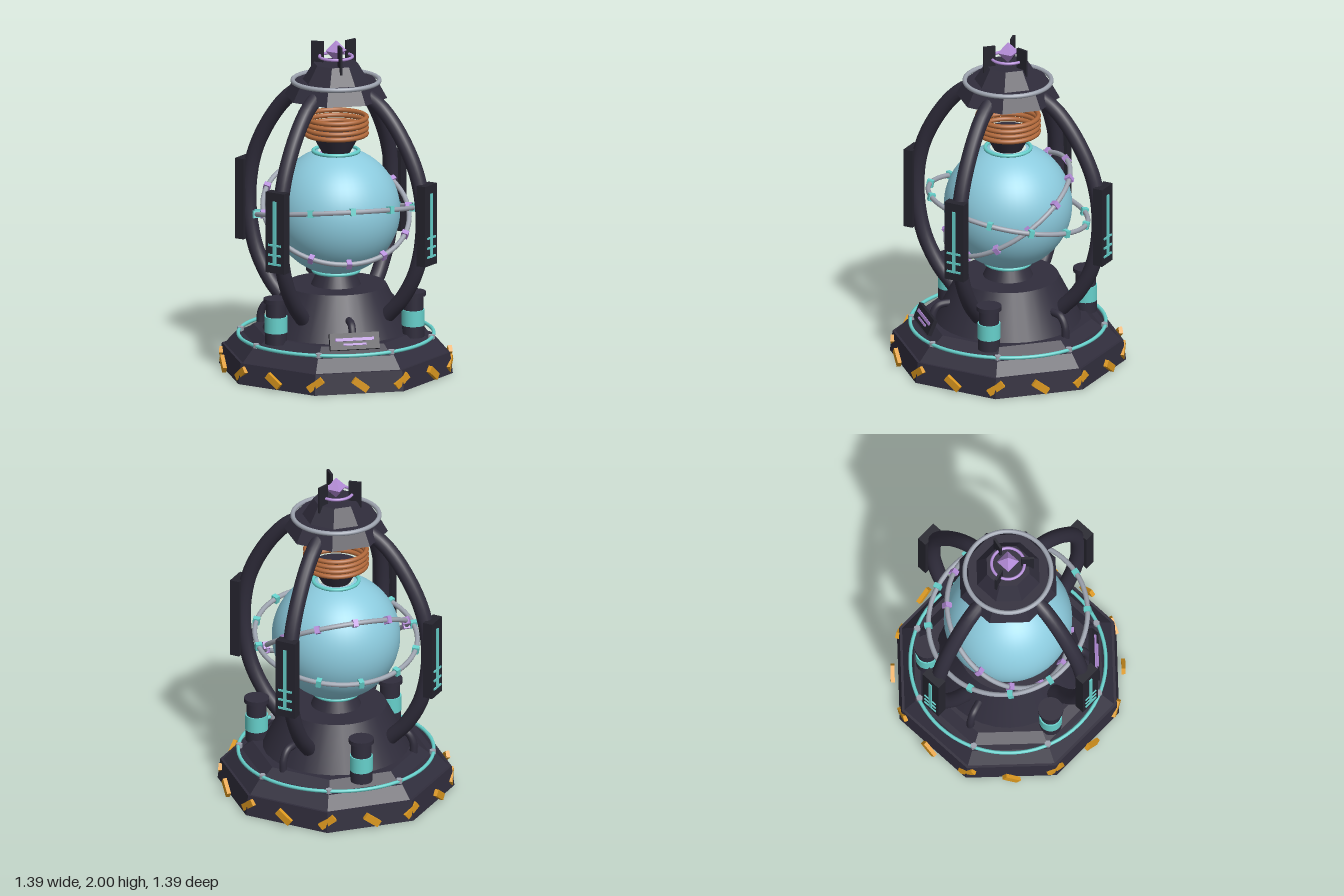
import * as THREE from 'three';
import { toCreasedNormals } from 'three/addons/utils/BufferGeometryUtils.js';

const mat = (name, color) => {
  const m = new THREE.MeshStandardMaterial({ color });
  m.name = name;
  return m;
};

export function createModel() {
  const root = new THREE.Group();
  root.name = 'lantern';
  const dark = mat('dark metal', 0x302d3c);
  const black = mat('black metal', 0x25242e);
  const glass = mat('pale blue glass', 0x8ccbde);
  const teal = mat('teal glow', 0x66d0cb);
  const grey = mat('grey metal', 0x9da3af);
  const copper = mat('copper', 0xb0683a);
  const gold = mat('gold', 0xdc981f);
  const violet = mat('violet crystal', 0xb48cd8);

  const add = (name, geo, m, x = 0, y = 0, z = 0, parent = root) => {
    const mesh = new THREE.Mesh(geo, m);
    mesh.name = name;
    mesh.position.set(x, y, z);
    parent.add(mesh);
    return mesh;
  };
  // Frustum standing between two heights
  const frustum = (name, rTop, rBottom, y0, y1, m, parent = root, sides = 32) =>
    add(name, new THREE.CylinderGeometry(rTop, rBottom, y1 - y0, sides), m, 0, (y0 + y1) / 2, 0, parent);
  // Eight-sided frustum with flats facing the axes; sizes are half-widths across flats
  const octagon = (name, top, bottom, y0, y1) => {
    const k = 1 / Math.cos(Math.PI / 8);
    const g = new THREE.CylinderGeometry(top * k, bottom * k, y1 - y0, 8).rotateY(Math.PI / 8);
    return add(name, toCreasedNormals(g, 0.3), dark, 0, (y0 + y1) / 2);
  };
  const ring = (name, r, tube, y, m, parent = root) =>
    add(name, new THREE.TorusGeometry(r, tube, 10, 72).rotateX(Math.PI / 2), m, 0, y, 0, parent);
  // Group whose local +z points outward at an angle measured from the front
  const spoke = (name, degrees, parent = root) => {
    const g = new THREE.Group();
    g.name = name;
    g.rotation.y = THREE.MathUtils.degToRad(degrees);
    parent.add(g);
    return g;
  };
  const tube = (name, points, r, parent) => {
    const curve = new THREE.CatmullRomCurve3(points.map(([d, y]) => new THREE.Vector3(0, y, d)));
    return add(name, new THREE.TubeGeometry(curve, 40, r, 14), dark, 0, 0, 0, parent);
  };

  // Stepped base
  octagon('basePlinth', 0.635, 0.65, 0, 0.125);
  octagon('baseStep', 0.555, 0.62, 0.125, 0.2);
  octagon('baseDeck', 0.46, 0.52, 0.2, 0.25);
  frustum('baseCone', 0.3, 0.44, 0.24, 0.515, dark);
  frustum('lowerNeck', 0.11, 0.15, 0.51, 0.6, dark);
  ring('baseGlowRing', 0.58, 0.011, 0.215, teal);
  for (let i = 0; i < 8; i++) {
    const s = spoke('ringBolt', 22.5 + i * 45);
    add('bolt', new THREE.CylinderGeometry(0.02, 0.02, 0.026, 6), grey, 0, 0.215, 0.575, s);
  }

  // Slanted gold bars around the plinth, alternating direction
  for (let i = 0; i < 16; i++) {
    const s = spoke('goldBar', i * 22.5);
    const bar = add('bar', new THREE.BoxGeometry(0.105, 0.042, 0.024), gold, 0, 0.062, 0.684, s);
    bar.rotation.z = i % 2 ? 0.64 : -0.64;
  }

  // Three canisters, with hoses between them
  for (let i = 0; i < 3; i++) {
    const pod = new THREE.Group();
    pod.name = 'canister';
    pod.position.z = 0.48;
    spoke('canisterMount', 60 + i * 120).add(pod);
    frustum('canisterFoot', 0.066, 0.066, 0.23, 0.3, dark, pod, 20);
    frustum('canisterGlow', 0.068, 0.068, 0.3, 0.395, teal, pod, 20);
    frustum('canisterTop', 0.06, 0.06, 0.395, 0.48, dark, pod, 20);
    frustum('canisterCap', 0.075, 0.075, 0.48, 0.505, dark, pod, 20);
    tube('hose', [[0.47, 0.23], [0.465, 0.31], [0.43, 0.365], [0.33, 0.375]], 0.023,
      spoke('hoseMount', i * 120));
  }

  // Tilted front console
  const console_ = new THREE.Group();
  console_.name = 'console';
  console_.position.set(0, 0.285, 0.51);
  console_.rotation.x = -0.4;
  root.add(console_);
  add('consolePanel', new THREE.BoxGeometry(0.3, 0.1, 0.025), black, 0, 0, 0, console_);
  add('consoleStripLong', new THREE.BoxGeometry(0.235, 0.018, 0.008), violet, 0, 0.01, 0.015, console_);
  add('consoleStripShort', new THREE.BoxGeometry(0.14, 0.012, 0.008), violet, 0, -0.02, 0.015, console_);

  // Glass globe with collars
  const clip = Math.acos(0.365 / 0.38);
  add('globe', new THREE.SphereGeometry(0.381, 48, 32, 0, Math.PI * 2, clip, Math.PI - 2 * clip), glass, 0, 0.962);
  ring('lowerCollar', 0.135, 0.011, 0.598, teal);
  ring('upperCollar', 0.135, 0.011, 1.326, teal);
  frustum('upperNeck', 0.145, 0.085, 1.32, 1.43, dark);
  for (let i = 0; i < 4; i++) ring('copperCoil', 0.181, 0.0145, 1.434 + i * 0.032, copper);

  // Two tilted orbit rings, each with twelve beads
  const orbit = (name, r, tilt, beadMat) => {
    const g = new THREE.Group();
    g.name = name;
    g.position.y = 0.962;
    g.rotation.x = tilt;
    root.add(g);
    ring('orbitRing', r, 0.015, 0, grey, g);
    for (let i = 0; i < 12; i++)
      add('bead', new THREE.BoxGeometry(0.03, 0.044, 0.04), beadMat, 0, 0, r, spoke('beadMount', i * 30, g));
  };
  orbit('shallowOrbit', 0.483, -0.21, teal);
  orbit('steepOrbit', 0.437, 0.595, violet);

  // Four bowed cage arms with glowing plates
  for (let i = 0; i < 4; i++) {
    const s = spoke('cageArm', 45 + i * 90);
    tube('arm', [[0.36, 0.37], [0.47, 0.49], [0.57, 0.68], [0.615, 0.95], [0.58, 1.22],
      [0.47, 1.45], [0.33, 1.62], [0.2, 1.7]], 0.046, s);
    add('armPlate', new THREE.BoxGeometry(0.13, 0.49, 0.06), black, 0, 0.96, 0.64, s);
    add('plateGlow', new THREE.BoxGeometry(0.022, 0.39, 0.008), teal, 0, 0.958, 0.673, s);
    for (const y of [0.77, 0.825, 0.885])
      add('plateGlowBar', new THREE.BoxGeometry(0.09, 0.012, 0.008), teal, 0, y, 0.673, s);
  }

  // Stepped cap and its ring
  octagon('capBrim', 0.235, 0.285, 1.66, 1.755);
  octagon('capCone', 0.125, 0.185, 1.755, 1.86);
  ring('capRing', 0.257, 0.014, 1.755, grey);

  // Crystal finial, halo and three thin prongs
  add('crystal', new THREE.OctahedronGeometry(0.065), violet, 0, 1.935);
  ring('halo', 0.098, 0.009, 1.9, violet);
  for (let i = 0; i < 3; i++)
    add('prong', new THREE.BoxGeometry(0.015, 0.165, 0.075), black, 0, 1.9025, 0.116, spoke('prongMount', i * 120));

  return root;
}
